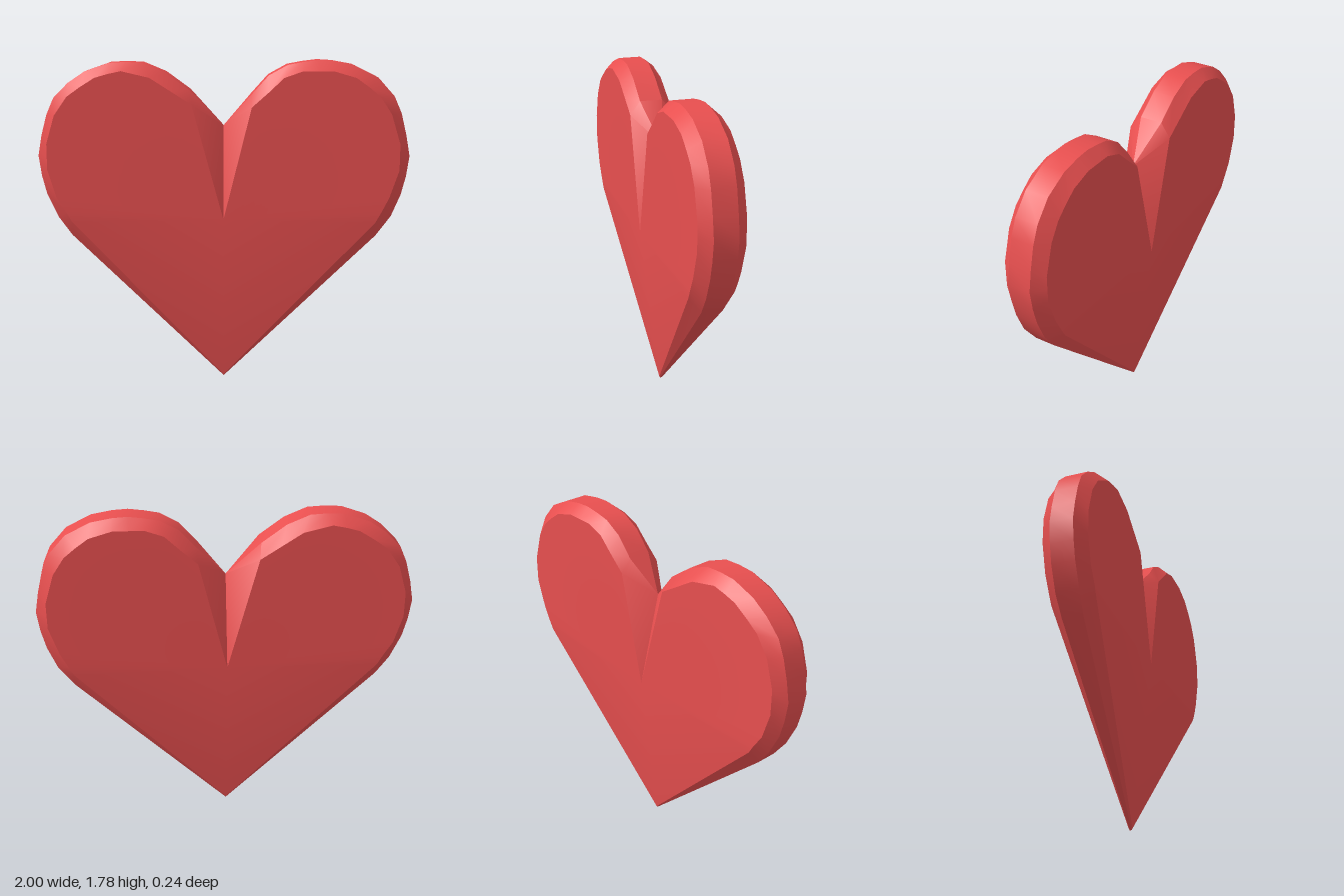
import * as THREE from 'three';
import { toCreasedNormals } from 'three/addons/utils/BufferGeometryUtils.js';

const BEND = 0.93; // height below which the body tapers to the tip

// Each entry: outer rim x, y, then the matching bevelled face edge x, y (notch to tip)
const leftLobe = [
  [0.15, 1.60, 0.15, 1.535], [0.24, 1.70, 0.235, 1.61], [0.34, 1.755, 0.32, 1.69],
  [0.42, 1.77, 0.42, 1.725], [0.50, 1.78, 0.50, 1.725], [0.58, 1.775, 0.58, 1.725],
  [0.69, 1.755, 0.70, 1.69], [0.82, 1.69, 0.77, 1.64], [0.91, 1.59, 0.83, 1.59],
  [0.95, 1.50, 0.89, 1.50], [0.98, 1.38, 0.94, 1.34], [1.00, 1.27, 0.94, 1.27],
  [0.985, 1.16, 0.94, 1.20], [0.96, 1.06, 0.89, 1.05], [0.91, 0.94, 0.85, 0.97],
  [0.83, 0.83, 0.82, 0.915],
];
const rightLobe = [
  [0.18, 1.62, 0.17, 1.55], [0.31, 1.715, 0.28, 1.62], [0.43, 1.765, 0.39, 1.69],
  [0.52, 1.77, 0.54, 1.725], [0.61, 1.765, 0.61, 1.71], [0.74, 1.72, 0.68, 1.69],
  [0.83, 1.66, 0.76, 1.64], [0.91, 1.58, 0.83, 1.59], [0.95, 1.49, 0.90, 1.49],
  [0.98, 1.38, 0.945, 1.34], [1.00, 1.27, 0.945, 1.27], [0.985, 1.16, 0.945, 1.20],
  [0.96, 1.06, 0.90, 1.05], [0.90, 0.93, 0.85, 0.97], [0.83, 0.83, 0.82, 0.915],
];

// Half thickness at a height
const taper = (y, full, tip) => tip + (full - tip) * Math.min(1, y / BEND);

// One column of the skin: back centre, back edge, back rim, front rim, front edge, front centre
function column(ox, oy, ix, iy, zo, zi) {
  const rows = [[0, BEND, 0.12], [ix, iy, zi], [ox, oy, zo]];
  return [
    ...rows.map(([x, y, z]) => new THREE.Vector3(x, y, -z)),
    ...rows.reverse().map(([x, y, z]) => new THREE.Vector3(x, y, z)),
  ];
}

const lobeColumns = (points, side) => points.map(([ox, oy, ix, iy]) =>
  column(side * ox, oy, side * ix, iy, taper(oy, 0.062, 0.005), taper(iy, 0.12, 0.01)));

function heartGeometry() {
  // Counter-clockwise: notch, right lobe, tip, left lobe; the notch pinches to zero thickness
  const columns = [
    column(0, 1.43, 0, 1.43, 0, 0),
    ...lobeColumns(rightLobe, -1),
    column(0, 0, 0, 0.008, 0.005, 0.01),
    ...lobeColumns(leftLobe, 1).reverse(),
  ];
  const positions = [];
  const triangle = (a, b, c) => {
    if (new THREE.Triangle(a, b, c).getArea() < 1e-8) return;
    for (const p of [a, b, c]) positions.push(p.x, p.y, p.z);
  };
  columns.forEach((a, i) => {
    const b = columns[(i + 1) % columns.length];
    for (let k = 0; k < a.length - 1; k++) {
      triangle(a[k], b[k], b[k + 1]);
      triangle(a[k], b[k + 1], a[k + 1]);
    }
  });
  const geometry = new THREE.BufferGeometry();
  geometry.setAttribute('position', new THREE.Float32BufferAttribute(positions, 3));
  return toCreasedNormals(geometry, THREE.MathUtils.degToRad(32));
}

export function createModel() {
  const group = new THREE.Group();
  group.name = 'heartModel';
  const heart = new THREE.Mesh(heartGeometry(), new THREE.MeshStandardMaterial({ color: 0xe84f4f }));
  heart.name = 'heart';
  group.add(heart);
  return group;
}
